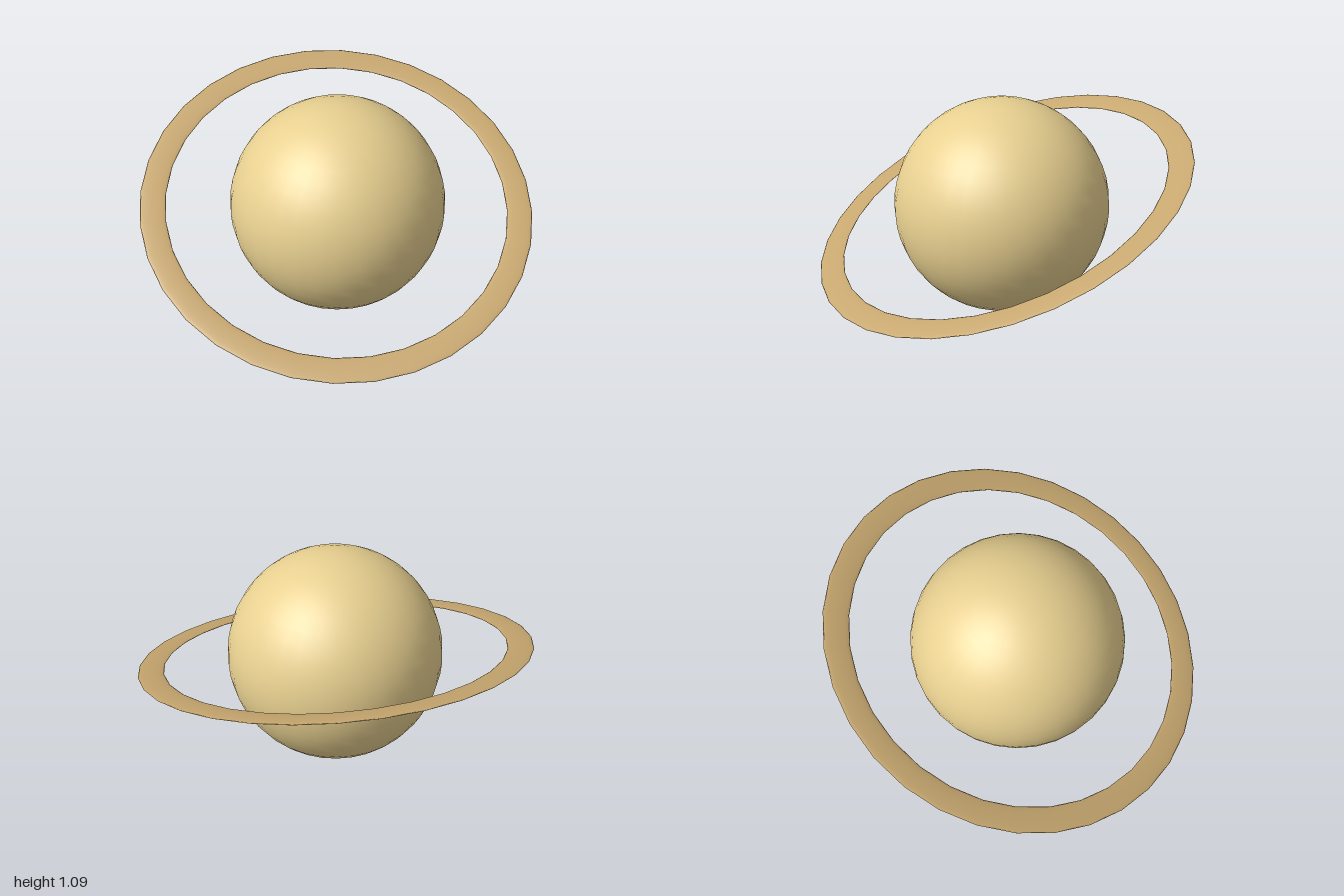
import * as THREE from 'three';

const RADIUS = 0.546;
const RING_RADIUS = 0.935;
const RING_HALF_WIDTH = 0.065;
const TILT = THREE.MathUtils.degToRad(20);

function part(name, geometry, color) {
  const mesh = new THREE.Mesh(geometry, new THREE.MeshStandardMaterial({ color }));
  mesh.name = name;
  mesh.position.y = RADIUS;
  return mesh;
}

export function createModel() {
  const model = new THREE.Group();
  model.name = 'ringedPlanet';

  // Smooth globe resting on the ground plane
  model.add(part('globe', new THREE.SphereGeometry(RADIUS, 32, 24), 0xe8d090));

  // Flattened torus, laid level and then tipped down toward the front
  const ringGeometry = new THREE.TorusGeometry(RING_RADIUS, RING_HALF_WIDTH, 16, 32);
  ringGeometry.rotateX(Math.PI / 2);
  ringGeometry.scale(1, 0.1, 1);
  const ring = part('ring', ringGeometry, 0xc8a870);
  ring.rotation.x = TILT;
  model.add(ring);

  return model;
}
